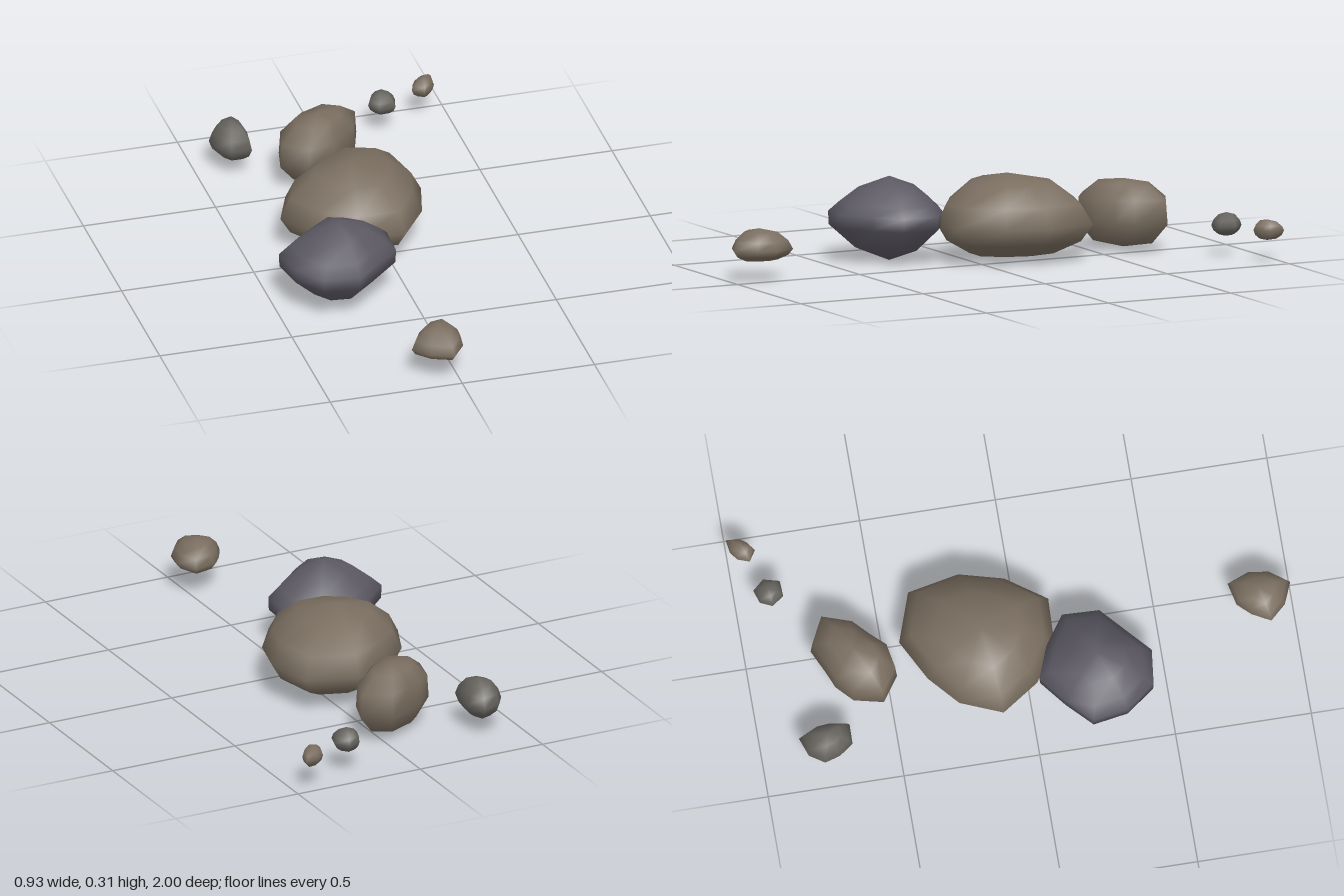
import * as THREE from 'three';

const BROWN = 0x7a6e60, SLATE = 0x5c5963, GREY = 0x67645f;

// Side profiles as [share of the outline, height: 1 = crown, 0 = waist, -1 = base]
const ROUNDED = [[.54, .83], [.86, .42], [1, 0], [.86, -.47], [.54, -.84]];
const EDGED = [[.5, .74], [.82, .39], [1, .16], [.99, -.16], [.56, -.7]];
const BLUNT = [[.58, .88], [.96, .43], [1, -.28], [.65, -.83]];

// Smooth rock: radii are spaced evenly around the centre, clockwise from the back,
// starting at angle `start` in degrees; the profile stacks scaled copies of that outline.
function addRock(group, name, color, profile, [cx, cz], [base, waist, crown], start, radii) {
  const n = radii.length, last = profile.length * n;
  const positions = [], index = [];
  for (const [scale, h] of profile) {
    const y = waist + h * (h > 0 ? crown - waist : waist - base);
    radii.forEach((radius, i) => {
      const a = THREE.MathUtils.degToRad(start + 360 * i / n);
      positions.push(cx + radius * scale * Math.sin(a), y, cz - radius * scale * Math.cos(a));
    });
  }
  positions.push(cx, crown, cz, cx, base, cz);

  for (let i = 0; i < n; i++) {
    const j = (i + 1) % n;
    index.push(last, j, i); // crown fan
    for (let ring = 0; ring < last - n; ring += n) {
      const a = ring + i, b = ring + j;
      index.push(a, b, b + n, a, b + n, a + n);
    }
    index.push(last + 1, last - n + i, last - n + j); // base fan
  }

  const geometry = new THREE.BufferGeometry();
  geometry.setAttribute('position', new THREE.Float32BufferAttribute(positions, 3));
  geometry.setIndex(index);
  geometry.computeVertexNormals();
  const mesh = new THREE.Mesh(geometry, new THREE.MeshStandardMaterial({ color }));
  mesh.name = name;
  group.add(mesh);
}

export function createModel() {
  const group = new THREE.Group();
  group.name = 'rocks';

  // Three boulders in a row
  addRock(group, 'largeBoulder', BROWN, ROUNDED, [-.09, -.15], [.005, .14, .315], 10,
    [.297, .33, .28, .265, .3, .268, .255, .28, .243, .236]);
  addRock(group, 'slateBoulder', SLATE, EDGED, [-.25, .25], [0, .155, .31], 30,
    [.195, .228, .208, .168, .208, .222, .21, .219, .182, .215]);
  addRock(group, 'rearBoulder', BROWN, BLUNT, [-.08, -.62], [.01, .145, .262], 26,
    [.16, .197, .138, .108, .135, .168, .187, .142, .111, .104]);

  // Loose stones around them
  addRock(group, 'frontStone', BROWN, ROUNDED, [-.06, .88], [.068, .115, .19], 30,
    [.123, .098, .097, .124, .1, .108, .079, .09]);
  addRock(group, 'rearStone', GREY, ROUNDED, [-.365, -.76], [.05, .115, .2], 15,
    [.104, .068, .066, .104, .092, .072, .082, .087]);
  addRock(group, 'smallStone', GREY, ROUNDED, [.235, -.88], [.075, .115, .162], 20,
    [.055, .057, .064, .056, .051, .047]);
  addRock(group, 'pebble', BROWN, ROUNDED, [.42, -.95], [.08, .118, .156], 40,
    [.064, .036, .032, .051, .059, .043, .043]);

  return group;
}
